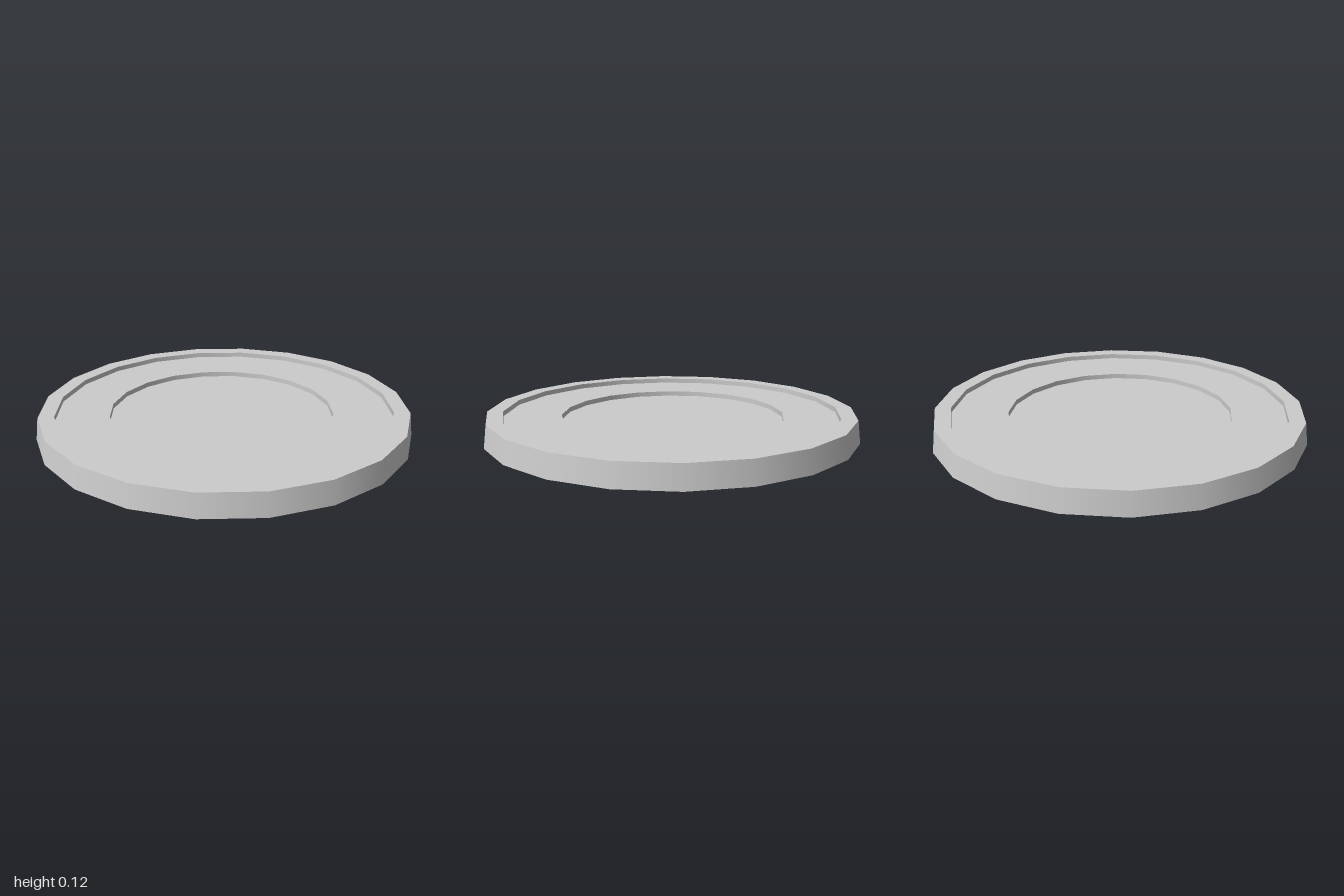
import * as THREE from 'three';

const SIDES = 20;
const TOP = 0.12;        // rim height
const STEP = 0.027;      // depth of each recess
const WELL_SHIFT = -0.016; // the inner well sits slightly off centre

// Profile of the thin open-bottomed shell, from the foot inwards: [radius, height, x shift]
const foot = [1, 0, 0];
const rimOuter = [0.985, TOP, 0];
const rimInner = [0.9, TOP, 0];
const ledgeOuter = [0.9, TOP - STEP, 0];
const ledgeInner = [0.6, TOP - STEP, WELL_SHIFT];
const wellEdge = [0.6, TOP - 2 * STEP, WELL_SHIFT];
const wellCentre = [0, TOP - 2 * STEP, WELL_SHIFT];

export function createModel() {
  const model = new THREE.Group();
  model.name = 'recessedDisc';
  const material = new THREE.MeshStandardMaterial({ color: 0xcccccc, side: THREE.DoubleSide });

  // One band of the shell between two profile points; smooth around, sharp between bands
  function band(name, a, b) {
    const geometry = new THREE.LatheGeometry(
      [a, b].map(([r, y]) => new THREE.Vector2(r, y)), SIDES);
    const pos = geometry.attributes.position;
    for (let i = 0; i < pos.count; i++) {
      pos.setX(i, pos.getX(i) + (i % 2 ? b : a)[2]);
    }
    const mesh = new THREE.Mesh(geometry, material);
    mesh.name = name;
    model.add(mesh);
  }

  band('outerWall', foot, rimOuter);
  band('rim', rimOuter, rimInner);
  band('rimStep', rimInner, ledgeOuter);
  band('ledge', ledgeOuter, ledgeInner);
  band('wellStep', ledgeInner, wellEdge);
  band('wellFloor', wellEdge, wellCentre);

  return model;
}
